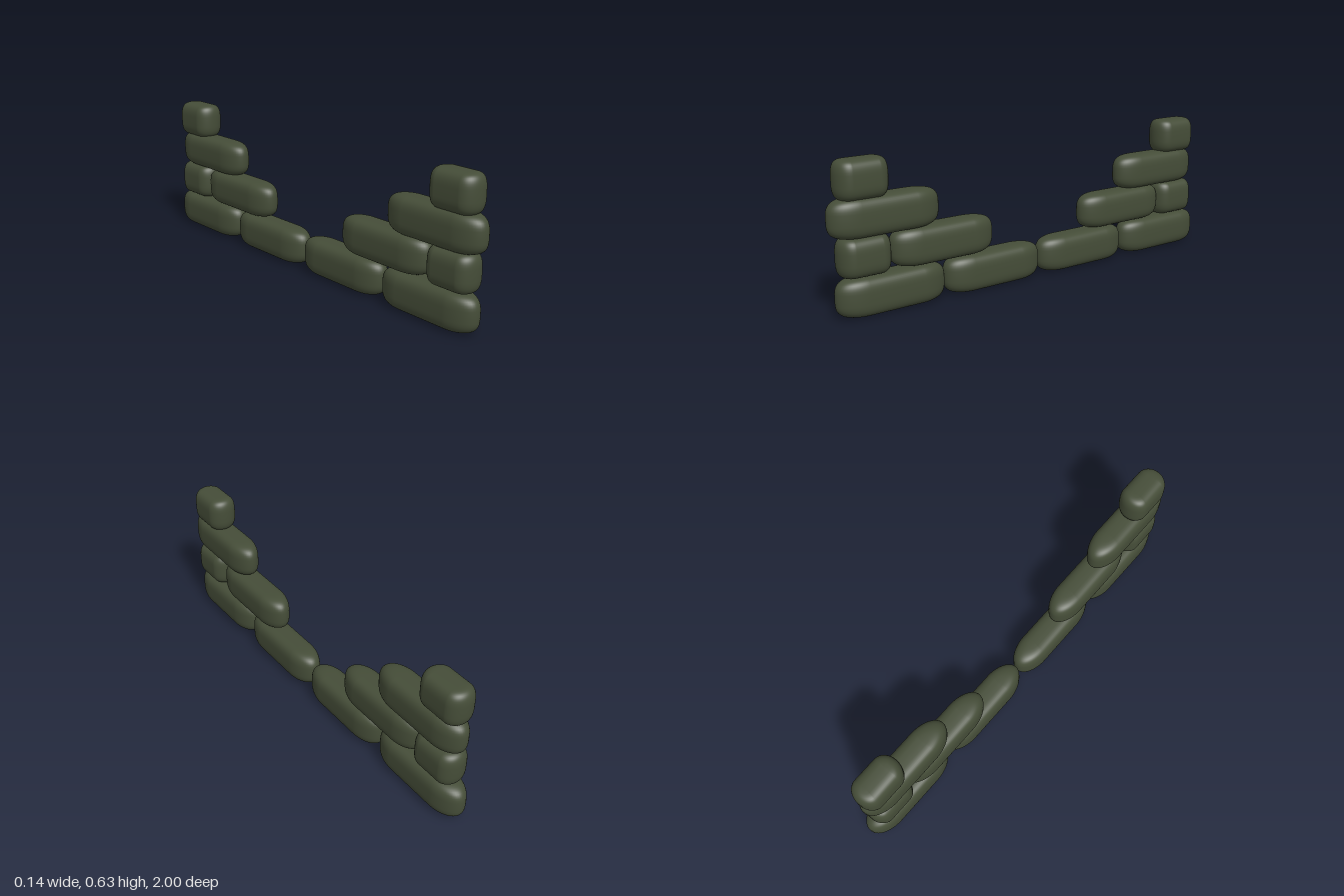
import * as THREE from 'three';
import { mergeVertices } from 'three/addons/utils/BufferGeometryUtils.js';

const WIDTH = 0.14, HEIGHT = 0.162;
const LONG = 0.49, SHORT = 0.226;

// Stuffed bag: a squarish rounded section with elliptical ends and a straight middle
function bagGeometry(length) {
  const end = length * 0.26, core = length / 2 - end, power = 2 / 3.4;
  const geo = new THREE.PlaneGeometry(1, 1, 48, 24);
  const pos = geo.attributes.position;
  for (let i = 0; i < pos.count; i++) {
    // half a step of offset keeps vertices off the line where the halves part
    const around = (pos.getX(i) + 0.5 + 0.5 / 48) * Math.PI * 2;
    const up = pos.getY(i) * Math.PI;
    const s = Math.pow(Math.max(0, Math.cos(up)), power);
    const y = Math.sign(up) * Math.pow(Math.abs(Math.sin(up)), power);
    const sin = Math.sin(around), cos = Math.cos(around);
    pos.setXYZ(i, WIDTH / 2 * s * sin, HEIGHT / 2 * y, end * s * cos + Math.sign(cos) * core);
  }
  geo.deleteAttribute('uv');
  geo.deleteAttribute('normal');
  const bag = mergeVertices(geo, 1e-5);
  bag.computeVertexNormals();
  return bag;
}

export function createModel() {
  const model = new THREE.Group();
  model.name = 'sandbagWall';
  const material = new THREE.MeshStandardMaterial({ color: 0x454d38 });
  const longBag = bagGeometry(LONG), shortBag = bagGeometry(SHORT);

  // Each course: height of its middle, centres of long and short bags along z
  const courses = [
    { y: 0.082, long: [0.735, 0.24, -0.255, -0.755], short: [] },
    { y: 0.245, long: [0.49, -0.5], short: [0.853, -0.85] },
    { y: 0.402, long: [0.755, -0.725], short: [] },
    { y: 0.553, long: [], short: [0.853, -0.85] },
  ];

  courses.forEach(({ y, long, short }, i) => {
    const course = new THREE.Group();
    course.name = `course${i + 1}`;
    const add = (geometry, name) => (z) => {
      const mesh = new THREE.Mesh(geometry, material);
      mesh.name = name;
      mesh.position.set(0, y, z);
      course.add(mesh);
    };
    long.forEach(add(longBag, 'longSandbag'));
    short.forEach(add(shortBag, 'shortSandbag'));
    model.add(course);
  });
  return model;
}
